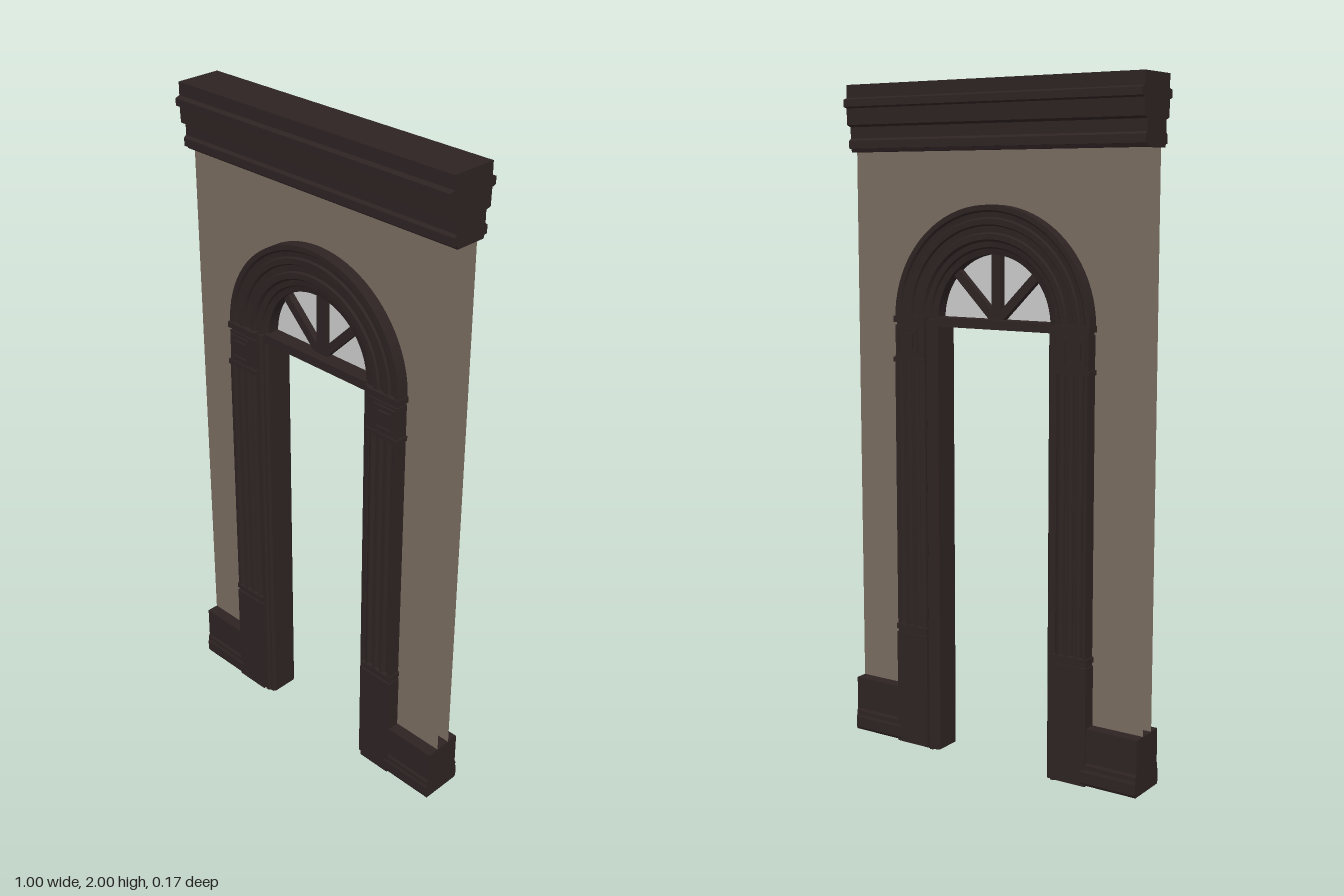
import * as THREE from 'three';
import { toCreasedNormals } from 'three/addons/utils/BufferGeometryUtils.js';

const wood = new THREE.MeshStandardMaterial({ color: 0x2e2323 });
wood.name = 'dark wood';
const plaster = new THREE.MeshStandardMaterial({ color: 0x7a6d61, side: THREE.DoubleSide });
plaster.name = 'plaster';
const pane = new THREE.MeshStandardMaterial({ color: 0xcccccc, side: THREE.DoubleSide });
pane.name = 'pale glass';

const HALF = 0.498;   // half width of the wall
const SPRING = 1.32;  // height where the arch starts

export function createModel() {
  const root = new THREE.Group();
  root.name = 'archedDoorway';

  const add = (name, geometry, material, parent = root) => {
    const mesh = new THREE.Mesh(geometry, material);
    mesh.name = name;
    parent.add(mesh);
    return mesh;
  };
  const box = (name, x0, x1, y0, y1, z0, z1, parent = root) => {
    const mesh = add(name, new THREE.BoxGeometry(Math.abs(x1 - x0), y1 - y0, z1 - z0), wood, parent);
    mesh.position.set((x0 + x1) / 2, (y0 + y1) / 2, (z0 + z1) / 2);
    return mesh;
  };
  const shapeOf = (pts) => new THREE.Shape(pts.map(([x, y]) => new THREE.Vector2(x, y)));
  const extrude = (pts, depth) => new THREE.ExtrudeGeometry(shapeOf(pts), { depth, bevelEnabled: false });
  // Closes a half profile by mirroring it across the wall's middle plane
  const bothFaces = (pts, axis) => [...pts,
    ...pts.slice().reverse().map((p) => p.map((v, i) => (i === axis ? -v : v)))];
  // Profile of [z, y] points run along x
  const runAlongX = (pts, x0, x1) =>
    extrude(bothFaces(pts, 0), x1 - x0).rotateY(Math.PI / 2).translate(x0, 0, 0);
  // Profile of [x, z] points run upward, on the chosen side
  const runUp = (pts, y0, y1, side) =>
    extrude(bothFaces(pts, 1).map(([x, z]) => [x * side, z]), y1 - y0).rotateX(-Math.PI / 2).translate(0, y0, 0);

  // Wall: two open sheets with an arched opening
  const wall = new THREE.Shape();
  wall.moveTo(-HALF, 0.02);
  wall.lineTo(-0.26, 0.02);
  wall.lineTo(-0.26, SPRING);
  wall.absarc(0, SPRING, 0.26, Math.PI, 0, true);
  wall.lineTo(0.26, 0.02);
  wall.lineTo(HALF, 0.02);
  wall.lineTo(HALF, 1.82);
  wall.lineTo(-HALF, 1.82);
  const sheet = new THREE.ShapeGeometry(wall, 32);
  add('wallFront', sheet, plaster).position.z = 0.024;
  const back = add('wallBack', sheet, plaster);
  back.position.z = -0.024;
  back.rotation.y = Math.PI;

  // Cornice
  add('cornice', runAlongX([
    [0.048, 1.805], [0.052, 1.815], [0.061, 1.815], [0.061, 1.838], [0.053, 1.845], [0.053, 1.878],
    [0.069, 1.884], [0.071, 1.932], [0.084, 1.936], [0.084, 1.957], [0.07, 1.962], [0.07, 2],
  ], -HALF, HALF), wood);

  // Arch moulding: stepped rings swept over half a turn
  const ring = [
    [0.333, 0.045], [0.333, 0.06], [0.318, 0.06], [0.313, 0.054], [0.298, 0.052], [0.294, 0.058],
    [0.278, 0.058], [0.274, 0.052], [0.256, 0.05], [0.252, 0.056], [0.236, 0.056], [0.23, 0.048],
    [0.214, 0.046], [0.21, 0.04], [0.193, 0.036],
  ];
  const loop = bothFaces(ring, 1);
  loop.push(loop[0]);
  const arch = new THREE.LatheGeometry(loop.map(([r, z]) => new THREE.Vector2(r, z)), 40, Math.PI / 2, Math.PI);
  add('archMoulding', toCreasedNormals(arch.rotateX(Math.PI / 2), 0.3), wood).position.y = SPRING;

  // Fanlight: half-round glass, transom and radiating bars
  add('fanGlass', new THREE.CircleGeometry(0.2, 32, 0, Math.PI), pane).position.y = SPRING;
  box('transom', -0.2, 0.2, 1.3, 1.327, -0.048, 0.048);
  for (const [angle, width] of [[-Math.PI / 4, 0.026], [0, 0.03], [Math.PI / 4, 0.026]]) {
    const bar = add('fanBar', new THREE.BoxGeometry(width, 0.2, 0.04).translate(0, 0.1, 0), wood);
    bar.position.y = SPRING;
    bar.rotation.z = angle;
  }

  // Fluted shaft cross-section
  const shaft = [[0.228, 0.058], [0.236, 0.064]];
  for (let i = 0; i < 3; i++) {
    const centre = 0.252 + i * 0.029;
    for (let k = 0; k <= 6; k++) {
      const a = Math.PI * (1 - k / 6);
      shaft.push([centre + 0.011 * Math.cos(a), 0.065 - 0.011 * Math.sin(a)]);
    }
  }
  shaft.push([0.331, 0.065]);
  // Stepped door jamb cross-section
  const jamb = [[0.192, 0.04], [0.198, 0.048], [0.208, 0.048], [0.212, 0.055], [0.222, 0.055], [0.226, 0.05], [0.25, 0.05]];

  for (const side of [1, -1]) {
    const name = side > 0 ? 'left' : 'right';
    const post = new THREE.Group();
    post.name = name + 'Pilaster';
    root.add(post);
    const block = (part, x0, x1, y0, y1, z) => box(part, side * x0, side * x1, y0, y1, -z, z, post);

    add('jamb', runUp(jamb, 0, SPRING, side), wood, post);
    add('flutedShaft', toCreasedNormals(runUp(shaft, 0.37, 1.21, side), 0.6), wood, post);

    // Pedestal with its cap mouldings
    block('pedestal', 0.222, 0.334, 0.008, 0.358, 0.066);
    block('pedestalNeck', 0.226, 0.331, 0.358, 0.368, 0.061);
    block('pedestalCap', 0.222, 0.335, 0.368, 0.384, 0.067);

    // Capital with a raised square panel on each face
    block('capitalCollar', 0.222, 0.336, 1.19, 1.204, 0.067);
    block('capital', 0.226, 0.331, 1.204, 1.3, 0.062);
    block('capitalNeck', 0.23, 0.328, 1.3, 1.308, 0.058);
    block('capitalTop', 0.222, 0.336, 1.308, 1.326, 0.065);
    for (const z of [1, -1]) {
      const frame = shapeOf([[-0.038, -0.038], [0.038, -0.038], [0.038, 0.038], [-0.038, 0.038]]);
      frame.holes.push(new THREE.Path([[-0.029, -0.029], [-0.029, 0.029], [0.029, 0.029], [0.029, -0.029]]
        .map(([x, y]) => new THREE.Vector2(x, y))));
      add('panelFrame', new THREE.ExtrudeGeometry(frame, { depth: 0.006, bevelEnabled: false }), wood, post)
        .position.set(side * 0.287, 1.253, z > 0 ? 0.061 : -0.067);
      const centre = add('panelCentre', new THREE.BoxGeometry(0.044, 0.044, 0.01), wood, post);
      centre.position.set(side * 0.287, 1.253, z * 0.064);
    }

    // Baseboard between the pedestal and the wall end
    const [x0, x1] = side > 0 ? [0.32, HALF] : [-HALF, -0.32];
    add(name + 'Baseboard', runAlongX([
      [0.064, 0.012], [0.068, 0.02], [0.068, 0.052], [0.065, 0.06], [0.065, 0.072], [0.061, 0.08], [0.061, 0.18],
    ], x0, x1), wood);
  }
  return root;
}
